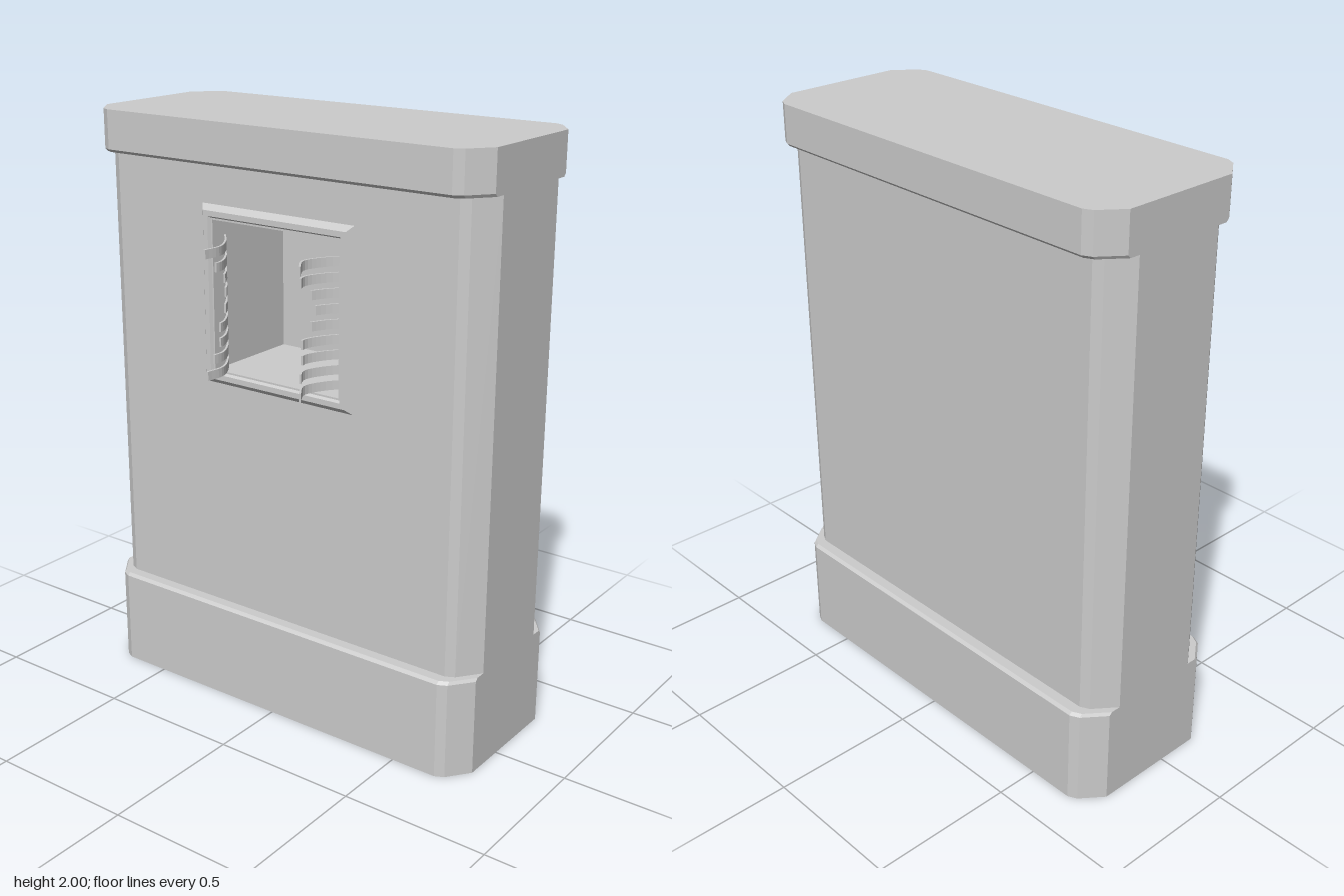
import * as THREE from 'three';

const MID_Z = -0.0575; // middle of the block's depth
const WINDOW_Y = 1.432, WINDOW_HALF = 0.25;

// Chamfered footprint, counter-clockwise seen from above, starting at front left;
// inset pulls the front and back inward. The last edge is the front face.
function footprint(inset) {
  const quarter = [[0.66, 0.2975], [0.69, 0.2825], [0.748, 0.2075]].map(([x, z]) => [x, z - inset]);
  const side = [...quarter, ...quarter.map(([x, z]) => [x, -z]).reverse()];
  return [...side, ...side.map(([x, z]) => [-x, z]).reverse()].map(([x, z]) => [x, z + MID_Z]);
}

// Loft the footprint through [height, inset] rows, with flat shading
function loft(rows, { caps = true, openFront = false } = {}) {
  const pos = [];
  const rings = rows.map(([y, inset]) => footprint(inset).map(([x, z]) => [x, y, z]));
  const n = rings[0].length;
  for (let r = 0; r < rings.length - 1; r++) {
    for (let i = 0; i < (openFront ? n - 1 : n); i++) {
      const j = (i + 1) % n;
      const a = rings[r][i], b = rings[r][j], c = rings[r + 1][j], d = rings[r + 1][i];
      pos.push(...a, ...b, ...c, ...a, ...c, ...d);
    }
  }
  if (caps) {
    const bottom = rings[0], top = rings[rings.length - 1];
    for (let i = 1; i < n - 1; i++) {
      pos.push(...bottom[0], ...bottom[i + 1], ...bottom[i]);
      pos.push(...top[0], ...top[i], ...top[i + 1]);
    }
  }
  const geo = new THREE.BufferGeometry();
  geo.setAttribute('position', new THREE.Float32BufferAttribute(pos, 3));
  geo.computeVertexNormals();
  return geo;
}

function rectangle(Type, halfW, y0, y1) {
  const p = new Type();
  p.moveTo(-halfW, y0);
  p.lineTo(halfW, y0);
  p.lineTo(halfW, y1);
  p.lineTo(-halfW, y1);
  p.closePath();
  return p;
}

// Thin curved rib: springs from the window jamb, bulges inward and hooks forward
function ribGeometry(side, tipZ) {
  const path = side < 0
    ? [[-0.25, 0.14], [-0.185, 0.215], [-0.148, 0.285], [-0.152, 0.355]]
    : [[0.25, 0.14], [0.19, 0.22], [0.17, 0.285], [0.21, 0.355]];
  const curve = new THREE.CatmullRomCurve3(path.map(([x, z]) => new THREE.Vector3(x, 0, z)));
  const inner = curve.getPoints(14).filter((p) => p.z <= tipZ + 0.004);
  const outline = [
    ...inner.map((p) => new THREE.Vector2(p.x, -p.z)),
    ...inner.map((p) => new THREE.Vector2(p.x + side * 0.008, -p.z)).reverse(),
  ];
  const geo = new THREE.ExtrudeGeometry(new THREE.Shape(outline), { depth: 0.03, bevelEnabled: false });
  geo.rotateX(-Math.PI / 2);
  return geo;
}

export function createModel() {
  const model = new THREE.Group();
  const material = new THREE.MeshStandardMaterial({ color: 0xcccccc });
  const add = (name, geo, parent = model) => {
    const mesh = new THREE.Mesh(geo, material);
    mesh.name = name;
    parent.add(mesh);
    return mesh;
  };

  // Plinth, body shell and top slab
  add('base', loft([[0, 0], [0.33, 0], [0.34, 0.01]]));
  add('body', loft([[0.335, 0.045], [1.865, 0.045]], { caps: false, openFront: true }));
  add('cap', loft([[1.86, 0.01], [1.87, 0], [2, 0]]));

  // Front panel with a square window
  const panel = rectangle(THREE.Shape, 0.66, 0.335, 1.865);
  panel.holes.push(rectangle(THREE.Path, WINDOW_HALF, WINDOW_Y - WINDOW_HALF, WINDOW_Y + WINDOW_HALF));
  add('frontPanel', new THREE.ShapeGeometry(panel)).position.z = 0.195;

  // Recess behind the window: a box without its front, turned inside out
  const depth = 0.355;
  const recess = new THREE.BoxGeometry(WINDOW_HALF * 2, WINDOW_HALF * 2, depth);
  const faces = Array.from(recess.index.array);
  faces.splice(24, 6);
  recess.setIndex(faces.reverse());
  recess.clearGroups();
  recess.computeVertexNormals();
  add('windowRecess', recess).position.set(0, WINDOW_Y, 0.195 - depth / 2);

  // Moulded square frame
  const profile = [[0.298, 0.195], [0.28, 0.215], [0.262, 0.215], [0.256, 0.205], [0.25, 0.205], [0.25, 0.185]]
    .map(([half, z]) => new THREE.Vector2(half * Math.SQRT2, z));
  const frame = new THREE.LatheGeometry(profile, 4)
    .rotateY(Math.PI / 4).rotateX(Math.PI / 2).toNonIndexed();
  frame.computeVertexNormals();
  add('windowFrame', frame).position.y = WINDOW_Y;

  // Ribs up both jambs, longest at top and bottom
  const ribs = new THREE.Group();
  ribs.name = 'ribs';
  model.add(ribs);
  const tips = [0.355, 0.33, 0.295, 0.295, 0.26, 0.245, 0.26, 0.315, 0.355];
  tips.forEach((tip, i) => {
    for (const side of [-1, 1]) {
      add(side < 0 ? 'rightRib' : 'leftRib', ribGeometry(side, tip), ribs).position.y = 1.2 + i * 0.0493;
    }
  });
  return model;
}
